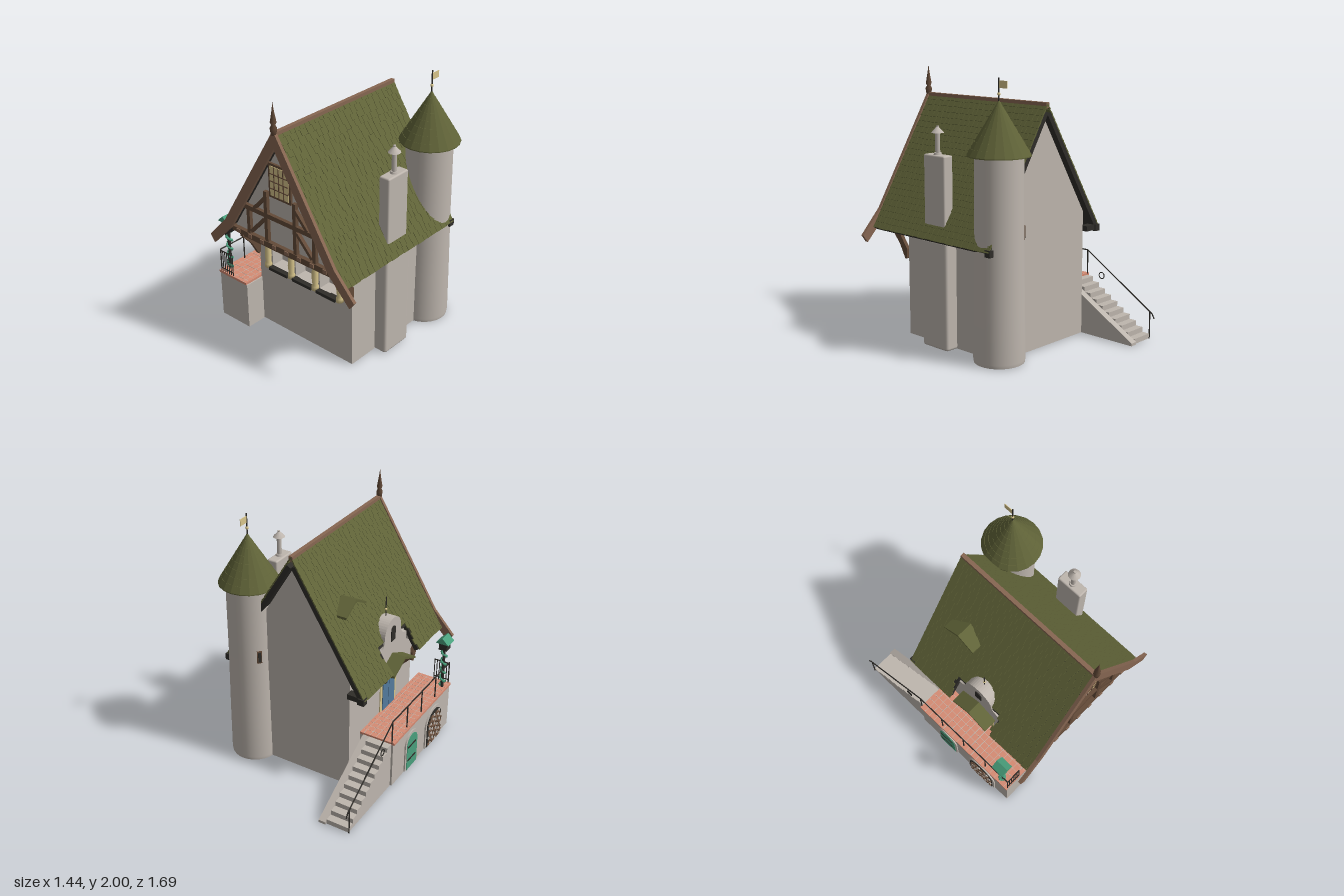
import * as THREE from 'three';
import { mergeGeometries } from 'three/addons/utils/BufferGeometryUtils.js';
import { RoundedBoxGeometry } from 'three/addons/geometries/RoundedBoxGeometry.js';

const mat = (name, color) => Object.assign(new THREE.MeshStandardMaterial({ color }), { name });

export function createModel() {
  const root = new THREE.Group();
  const plaster = mat('plaster', 0xbeb6ae), barge = mat('light timber', 0x876752), timber = mat('timber', 0x634a38);
  const green = mat('roof shingle', 0x606338), dark = mat('iron', 0x2f2d29), cream = mat('cream', 0xd8c58b);
  const clay = mat('terracotta', 0xd58b73), teal = mat('teal', 0x4a9f7c), blue = mat('blue door', 0x537a9c);
  plaster.side = THREE.DoubleSide; // the tower is an open shell
  const RX = 0.03, RY = 1.78, SLOPE = Math.atan2(0.96, 0.59), LEN = 1.127, V2 = THREE.Vector2;
  let seed = 7;
  const rnd = () => (seed = (seed * 16807) % 2147483647) / 2147483647;

  const add = (name, geo, m, x = 0, y = 0, z = 0) => {
    const mesh = new THREE.Mesh(geo, m);
    mesh.name = name;
    mesh.position.set(x, y, z);
    root.add(mesh);
    return mesh;
  };
  // box and rounded box given by their limits
  const box = (name, m, x0, x1, y0, y1, z0, z1, r = 0) => {
    const d = [x1 - x0, y1 - y0, z1 - z0];
    return add(name, r ? new RoundedBoxGeometry(...d, 2, r) : new THREE.BoxGeometry(...d), m, (x0 + x1) / 2, (y0 + y1) / 2, (z0 + z1) / 2);
  };
  const poly = pts => new THREE.Shape(pts.map(p => new V2(...p)));
  const extrude = (shape, depth) => new THREE.ExtrudeGeometry(shape, { depth, bevelEnabled: false, curveSegments: 10 });
  // outline in x,y pushed along z; outline in z,y pushed along x
  const alongZ = (name, m, shape, z0, z1) => add(name, extrude(shape, z1 - z0), m, 0, 0, z0);
  const alongX = (name, m, shape, x0, x1) => add(name, extrude(shape, x1 - x0).rotateY(-Math.PI / 2), m, x1, 0, 0);
  // four walls around an open space
  const hollow = (name, m, x0, x1, z0, z1, y0, y1, t) => {
    const rect = k => [[x0 + k, -z1 + k], [x1 - k, -z1 + k], [x1 - k, -z0 - k], [x0 + k, -z0 - k]];
    const s = poly(rect(0));
    s.holes.push(poly(rect(t)));
    add(name, extrude(s, y1 - y0).rotateX(-Math.PI / 2), m, 0, y0, 0);
  };
  const rod = (name, m, a, b, r, sides = 6) => {
    const p = new THREE.Vector3(...a), q = new THREE.Vector3(...b), d = q.clone().sub(p);
    const mesh = add(name, new THREE.CylinderGeometry(r, r, d.length(), sides), m, ...p.clone().add(q).multiplyScalar(0.5).toArray());
    mesh.quaternion.setFromUnitVectors(new THREE.Vector3(0, 1, 0), d.normalize());
  };
  // squared timber lying in the gable face
  const beam = (x0, y0, x1, y1, w) => {
    const geo = new THREE.BoxGeometry(Math.hypot(x1 - x0, y1 - y0), w, 0.03).rotateZ(Math.atan2(y1 - y0, x1 - x0));
    add('gableTimber', geo, timber, (x0 + x1) / 2, (y0 + y1) / 2, 0.782);
  };
  const lathe = (name, m, pts, n, x, y, z) => add(name, new THREE.LatheGeometry(pts.map(p => new V2(...p)), n), m, x, y, z);
  const arch = (c, w, y0, y1) => {
    const s = new THREE.Shape();
    s.moveTo(c - w, y0).lineTo(c + w, y0).lineTo(c + w, y1 - w).absarc(c, y1 - w, w, 0, Math.PI, false);
    return s;
  };

  // House walls over a hollow base, with an open gallery in the front
  const gable = (h, y0, eave, top) => poly([[RX - h, y0], [RX + h, y0], [RX + h, eave], [RX, top], [RX - h, eave]]);
  hollow('houseBase', plaster, -0.42, 0.48, -0.36, 0.48, 0.01, 0.38, 0.03);
  box('houseFloor', timber, -0.4, 0.46, 0.37, 0.379, -0.34, 0.47);
  alongZ('houseBody', plaster, gable(0.45, 0.38, 0.95, 1.69), -0.36, 0.47);
  const front = poly([[-0.42, 0.01], [0.48, 0.01], [0.48, 0.86], [-0.42, 0.86]]);
  const columns = [-0.32, -0.087, 0.147, 0.38];
  for (let i = 0; i < 3; i++) {
    const a = columns[i] + 0.03, b = columns[i + 1] - 0.03, h = new THREE.Path();
    h.moveTo(a, 0.53).lineTo(a, 0.72).quadraticCurveTo(a, 0.755, a + 0.04, 0.755).lineTo(b - 0.04, 0.755);
    h.quadraticCurveTo(b, 0.755, b, 0.72).lineTo(b, 0.53).lineTo(a, 0.53);
    front.holes.push(h);
    box('gallerySill', dark, a - 0.005, b + 0.005, 0.505, 0.53, 0.56, 0.61);
  }
  alongZ('frontWall', plaster, front, 0.47, 0.57);
  const colProfile = [[0, 0], [0.028, 0], [0.028, 0.03], [0.021, 0.045], [0.026, 0.1], [0.021, 0.2], [0.026, 0.215], [0.028, 0.24], [0, 0.24]];
  columns.forEach(x => lathe('galleryColumn', cream, colProfile, 12, x, 0.515, 0.585));
  for (let i = 0; i < 34; i++)
    add('garlandLeaf', new THREE.IcosahedronGeometry(0.011 + 0.005 * rnd()), teal, -0.36 + i * 0.0235, 0.785 + 0.01 * rnd(), 0.585);

  // Overhanging gable and its timber frame
  alongZ('upperGable', plaster, gable(0.48, 0.85, 0.89, 1.68), 0.47, 0.77);
  box('jettyBeam', timber, -0.45, 0.51, 0.875, 0.91, 0.74, 0.802);
  box('lowerBeam', timber, -0.4, 0.47, 0.81, 0.85, 0.56, 0.74);
  for (let i = 0; i < 8; i++) box('joistEnd', barge, -0.4 + i * 0.118, -0.365 + i * 0.118, 0.878, 0.907, 0.74, 0.808);
  beam(-0.34, 1.115, 0.4, 1.115, 0.035);
  for (const s of [-1, 1]) {
    beam(RX + s * 0.31, 0.91, RX + s * 0.31, 1.1, 0.03);
    beam(RX + s * 0.135, 0.91, RX + s * 0.135, 1.3, 0.03);
    beam(RX + s * 0.29, 0.93, RX + s * 0.15, 1.08, 0.025);
    beam(RX + s * 0.25, 1.13, RX + s * 0.14, 1.25, 0.025);
    // curved braces carrying the overhang
    const bx = RX + s * 0.455;
    alongX('jettyBrace', timber, poly([[0.57, 0.6], [0.59, 0.59], [0.65, 0.7], [0.74, 0.8], [0.74, 0.86], [0.7, 0.86], [0.63, 0.75], [0.57, 0.67]]), bx - 0.014, bx + 0.014);
    // bargeboards flaring at the foot
    const b = [[0, 1.805], [0.52, 0.955], [0.69, 0.77], [0.65, 0.715], [0.465, 0.905], [0, 1.67]];
    alongZ('bargeboard', barge, poly(b.map(p => [RX + s * p[0], p[1]])), 0.804, 0.829);
    box('eaveBlock', dark, RX + s * 0.565 - 0.025, RX + s * 0.565 + 0.025, 0.79, 0.84, -0.41, -0.36);
  }

  // Attic window
  box('windowFrame', timber, -0.072, 0.132, 1.272, 1.53, 0.765, 0.787);
  box('windowPane', cream, -0.055, 0.115, 1.29, 1.512, 0.787, 0.791);
  for (let i = 1; i < 4; i++) {
    const x = -0.055 + i * 0.0425, y = 1.29 + i * 0.0555;
    box('windowBar', timber, x - 0.003, x + 0.003, 1.29, 1.512, 0.791, 0.796);
    box('windowBar', timber, -0.055, 0.115, y - 0.003, y + 0.003, 0.791, 0.796);
  }

  // Main roof: dark underlay with rows of shingles, notched for the wall dormer
  const slope = (s, u0, u1, z0, z1, t, off, tilt = 0) => new THREE.BoxGeometry(u1 - u0, t, z1 - z0).rotateZ(s * tilt)
    .translate(s * (u0 + u1) / 2, off, (z0 + z1) / 2).rotateZ(-s * SLOPE).translate(RX, RY, 0);
  const CUT = 0.917, ROWS = 24, row = LEN / ROWS, TOP = 0.07;
  add('roofUnderlay', mergeGeometries([
    slope(1, TOP, LEN, -0.4, 0.805, 0.035, -0.0225), slope(-1, TOP, CUT, -0.4, 0.805, 0.035, -0.0225),
    slope(-1, CUT, LEN, -0.4, 0.01, 0.035, -0.0225), slope(-1, CUT, LEN, 0.42, 0.805, 0.035, -0.0225)]), dark);
  const shingles = [];
  for (const s of [-1, 1]) for (let r = 0; r < ROWS; r++) {
    let z = -0.4;
    while (z < 0.8) {
      const end = Math.min(z + 0.035 + 0.035 * rnd(), 0.806), u = r * row, mid = (z + end) / 2;
      if (s > 0 || u + row < CUT + 0.01 || mid < 0.01 || mid > 0.42)
        shingles.push(slope(s, u, u + row * (0.98 + 0.1 * rnd()), z, end - 0.0025, 0.01, 0, 0.09));
      z = end;
    }
  }
  add('roofShingles', mergeGeometries(shingles), green);
  box('ridgeBeam', barge, RX - 0.015, RX + 0.015, 1.75, 1.79, -0.4, 0.82);
  lathe('gableFinial', timber, [[0, 0], [0.018, 0], [0.025, 0.05], [0.014, 0.07], [0.022, 0.09], [0.008, 0.17], [0, 0.23]], 8, RX, 1.77, 0.82);
  box('eavePurlin', dark, -0.53, -0.42, 0.8, 0.84, -0.4, -0.34);

  // Small roof hood and porch roof on the terrace side
  const hood = (name, x0, x1, c, h, top, eave) => alongX(name, green,
    poly([[c - h, eave], [c, top - 0.02], [c + h, eave], [c + h, eave + 0.018], [c, top], [c - h, eave + 0.018]]), x0, x1);
  hood('roofHood', -0.32, -0.19, -0.11, 0.14, 1.43, 1.33);
  hood('porchRoof', -0.56, -0.42, 0.205, 0.165, 0.87, 0.77);
  for (const z of [0.08, 0.33]) rod('porchBrace', timber, [-0.54, 0.79, z], [-0.42, 0.67, z], 0.011);

  // Wall dormer with broad shoulders and round top
  const d = new THREE.Shape();
  d.moveTo(0.01, 0.78).lineTo(0.42, 0.78).lineTo(0.42, 0.95).quadraticCurveTo(0.33, 0.96, 0.33, 1.04);
  d.absarc(0.205, 1.04, 0.125, 0, Math.PI, false).quadraticCurveTo(0.08, 0.96, 0.01, 0.95);
  alongX('wallDormer', plaster, d, -0.45, -0.34);
  alongX('dormerWindow', dark, arch(0.205, 0.03, 0.98, 1.1), -0.456, -0.449);
  rod('dormerSpike', dark, [-0.385, 1.16, 0.205], [-0.385, 1.32, 0.205], 0.004);
  add('dormerSpikeBall', new THREE.SphereGeometry(0.01, 8, 6), cream, -0.385, 1.22, 0.205);

  // Terrace door
  box('doorFrame', cream, -0.427, -0.42, 0.395, 0.78, 0.085, 0.325);
  for (const z of [0.115, 0.208]) {
    box('doorLeaf', blue, -0.433, -0.427, 0.395, 0.76, z, z + 0.087);
    box('doorGlass', dark, -0.436, -0.433, 0.62, 0.7, z + 0.028, z + 0.058);
  }

  // Chimney with pipe and hat
  const CX = 0.525, CZ = 0.19;
  box('chimneyBase', plaster, 0.44, 0.58, 0.005, 0.81, 0.06, 0.32, 0.02);
  box('chimneyStack', plaster, 0.48, 0.567, 0.78, 1.42, 0.085, 0.295, 0.012);
  const round = (name, r0, r1, y0, y1) => add(name, new THREE.CylinderGeometry(r1, r0, y1 - y0, 12), plaster, CX, (y0 + y1) / 2, CZ);
  round('pipeFoot', 0.032, 0.026, 1.415, 1.435);
  round('pipe', 0.018, 0.018, 1.43, 1.58);
  round('pipeHat', 0.046, 0.01, 1.575, 1.615);
  round('pipeHatKnob', 0.01, 0.01, 1.61, 1.625);

  // Round tower
  const TX = 0.437, TZ = -0.322;
  lathe('towerWall', plaster, [[0.18, 0.004], [0.184, 0.03], [0.18, 0.4], [0.172, 0.9], [0.17, 1.48]], 32, TX, 0, TZ);
  const cone = [[0, 1.45], [0.222, 1.455]];
  for (let i = 0; i < 8; i++) {
    const r = k => 0.222 * (1 - k / 8);
    cone.push([r(i), 1.462 + i * 0.046], [r(i + 1) + 0.002, 1.462 + (i + 1) * 0.046]);
  }
  cone.push([0, 1.835]);
  const towerCone = lathe('towerRoof', green, cone, 20, TX, 0, TZ);
  towerCone.geometry = towerCone.geometry.toNonIndexed();
  towerCone.geometry.computeVertexNormals();
  rod('flagPole', dark, [TX, 1.8, TZ], [TX, 1.98, TZ], 0.005);
  add('flagBall', new THREE.SphereGeometry(0.012, 8, 6), cream, TX, 1.87, TZ);
  box('flag', cream, TX - 0.002, TX + 0.002, 1.91, 1.96, TZ - 0.075, TZ);
  const slit = (name, m, w, h, r) =>
    add(name, new THREE.BoxGeometry(w, h, 0.01), m, TX - 0.8 * r, 0.92, TZ - 0.6 * r).rotation.y = Math.atan2(-0.8, -0.6);
  slit('towerSlitFrame', timber, 0.036, 0.1, 0.173);
  slit('towerSlit', dark, 0.022, 0.08, 0.177);

  // Hollow terrace with two arched openings
  hollow('terraceWall', plaster, -0.695, -0.41, -0.2, 0.73, 0.005, 0.376, 0.03);
  box('terraceFloor', clay, -0.705, -0.42, 0.375, 0.394, -0.2, 0.732);
  for (let i = 1; i < 6; i++) box('tileJoint', plaster, -0.7035 + i * 0.05, -0.7005 + i * 0.05, 0.392, 0.3948, -0.198, 0.73);
  for (let i = 1; i < 19; i++) box('tileJoint', plaster, -0.703, -0.425, 0.392, 0.3948, -0.2015 + i * 0.05, -0.1985 + i * 0.05);
  alongX('cellarDoorSurround', plaster, arch(0.09, 0.1, 0.01, 0.33), -0.705, -0.69);
  alongX('cellarDoor', teal, arch(0.09, 0.08, 0.012, 0.305), -0.709, -0.66);
  for (const y of [0.09, 0.21]) box('cellarHinge', dark, -0.713, -0.709, y, y + 0.012, 0.02, 0.14);
  alongX('logStoreSurround', plaster, arch(0.46, 0.14, 0.01, 0.33), -0.705, -0.69);
  alongX('logStore', dark, arch(0.46, 0.12, 0.012, 0.305), -0.709, -0.66);
  for (let j = 0; j < 9; j++) for (let i = 0; i < 8; i++) {
    const z = 0.365 + i * 0.027 + (j % 2) * 0.01, y = 0.03 + j * 0.029;
    if (y < 0.19 || Math.hypot(z - 0.46, y - 0.185) < 0.105)
      add('logEnd', new THREE.CylinderGeometry(0.0125, 0.0125, 0.063, 7).rotateZ(Math.PI / 2), [barge, timber, plaster][(i * 2 + j) % 3], -0.685, y, z);
  }

  // Stairs: open underneath, closed by a cheek on each side
  const treads = [[-0.8, 0]];
  for (let i = 0; i < 10; i++) treads.push([-0.8 + i * 0.06, (i + 1) * 0.038], [-0.74 + i * 0.06, (i + 1) * 0.038]);
  alongX('stairTreads', plaster, poly([[-0.76, 0], [-0.2, 0.33], ...treads.slice().reverse()]), -0.66, -0.5);
  alongX('stairCheek', plaster, poly([[-0.2, 0], ...treads.slice().reverse()]), -0.68, -0.66);
  alongX('stairSideWall', plaster, poly([[-0.815, 0], [-0.19, 0], [-0.19, 0.385], [-0.815, 0.02]]), -0.5, -0.445);

  // Iron railings
  const X = -0.685;
  rod('sideRail', dark, [X, 0.58, 0.725], [X, 0.58, -0.2], 0.005);
  rod('stairRail', dark, [X, 0.58, -0.2], [X, 0.195, -0.82], 0.005);
  rod('stairRailEnd', dark, [X, 0.195, -0.82], [X, 0.16, -0.84], 0.005);
  rod('stairPost', dark, [X, 0, -0.8], [X, 0.205, -0.8], 0.005);
  for (const z of [-0.2, 0.03, 0.26, 0.49, 0.725]) rod('railPost', dark, [X, 0.39, z], [X, 0.58, z], 0.005);
  rod('frontRailLow', dark, [X, 0.42, 0.725], [-0.56, 0.42, 0.725], 0.004);
  rod('frontRailTop', dark, [X, 0.57, 0.725], [-0.56, 0.57, 0.725], 0.005);
  for (let i = 0; i < 7; i++) rod('frontBaluster', dark, [X + i * 0.0208, 0.39, 0.725], [X + i * 0.0208, 0.575, 0.725], 0.0035);
  add('railRing', new THREE.TorusGeometry(0.025, 0.004, 5, 14).rotateY(Math.PI / 2), dark, X, 0.4, -0.34);

  // Lantern post with climbing vine
  const LX = -0.667, LZ = 0.65;
  rod('lanternPost', dark, [LX, 0.39, LZ], [LX, 0.76, LZ], 0.012, 8);
  box('lanternBox', dark, LX - 0.033, LX + 0.033, 0.74, 0.81, LZ - 0.033, LZ + 0.033);
  alongZ('lanternRoof', teal, poly([[LX - 0.053, 0.805], [LX + 0.053, 0.805], [LX, 0.855]]), LZ - 0.052, LZ + 0.052);
  for (let i = 0; i < 34; i++) {
    const a = i * 0.8, y = 0.41 + i * 0.0098;
    add('vineLeaf', new THREE.IcosahedronGeometry(0.009 + 0.005 * rnd()), teal, LX + 0.018 * Math.cos(a), y, LZ + 0.018 * Math.sin(a));
  }
  return root;
}
